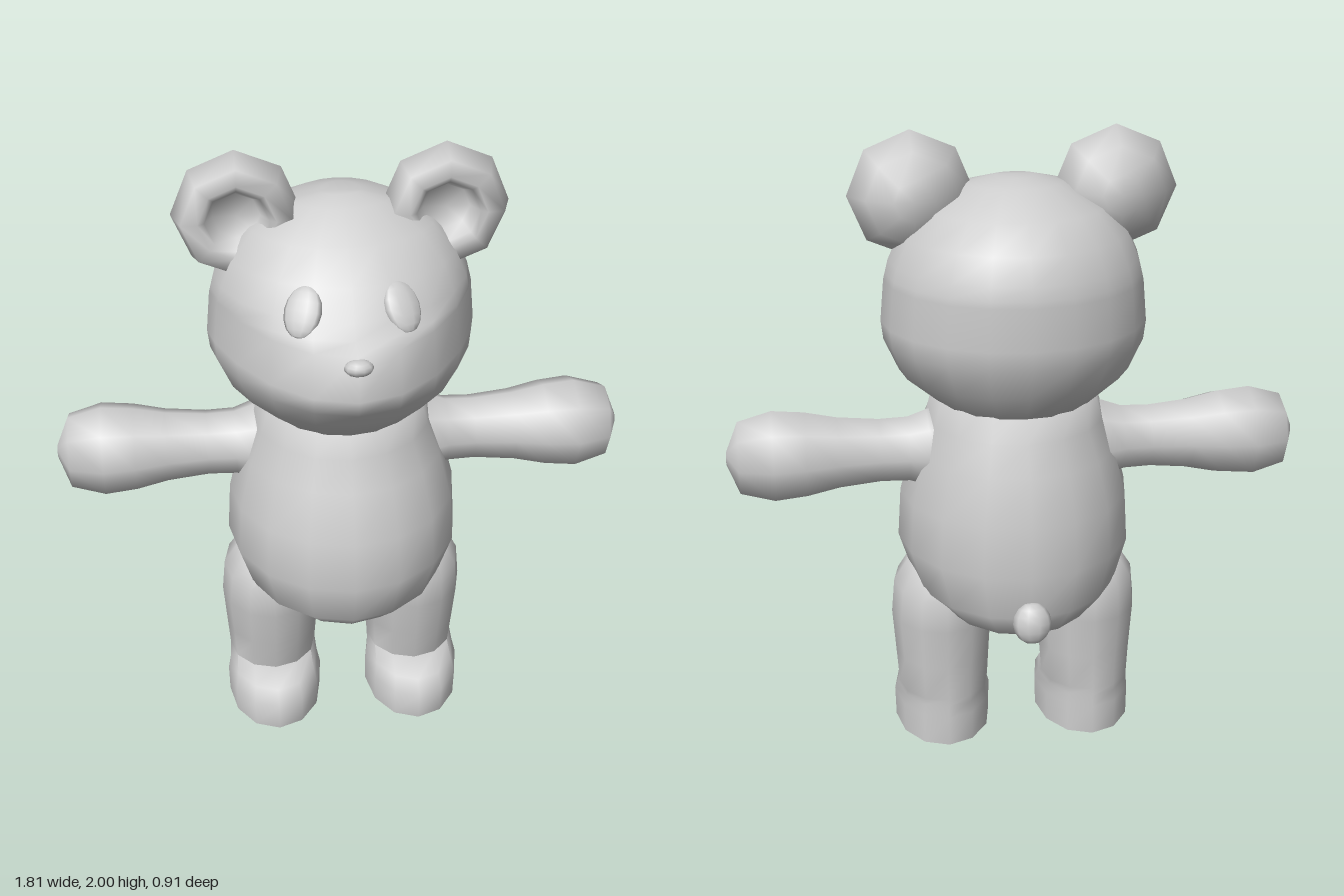
import * as THREE from 'three';
import { toCreasedNormals } from 'three/addons/utils/BufferGeometryUtils.js';

const material = new THREE.MeshStandardMaterial({ color: 0xcccccc });

// Closed skin over horizontal rings, each [y, halfWidth, zBack, zFront, frontPower].
// A frontPower above 1 narrows the front half of a ring into a muzzle.
function loft(rings, sides, mid) {
  const pos = [], index = [];
  for (const [y, rx, zb, zf, p = 1] of rings) {
    const c = mid ?? (zb + zf) / 2;
    for (let i = 0; i < sides; i++) {
      const a = (i / sides) * Math.PI * 2, k = Math.cos(a);
      const z = k > 0 ? c + (zf - c) * Math.pow(k, p) : c + (c - zb) * k;
      pos.push(rx * Math.sin(a), y, z);
    }
  }
  // centre points that close both ends
  const end = rings.length - 1, bottom = rings.length * sides;
  for (const [y, , zb, zf] of [rings[0], rings[end]]) pos.push(0, y, mid ?? (zb + zf) / 2);
  for (let i = 0; i < sides; i++) {
    const j = (i + 1) % sides;
    for (let r = 0; r < end; r++) {
      const a = r * sides, b = a + sides;
      index.push(a + i, a + j, b + j, a + i, b + j, b + i);
    }
    index.push(bottom, j, i, bottom + 1, end * sides + i, end * sides + j);
  }
  const geo = new THREE.BufferGeometry();
  geo.setAttribute('position', new THREE.Float32BufferAttribute(pos, 3));
  geo.setIndex(index);
  geo.computeVertexNormals();
  return geo;
}

// Round loft from [distance, radius] pairs
const roundLoft = (profile, sides) => loft(profile.map(([y, r]) => [y, r, -r, r]), sides);

function ellipsoid(rx, ry, rz) {
  return new THREE.SphereGeometry(1, 10, 8).scale(rx, ry, rz);
}

export function createModel() {
  const bear = new THREE.Group();
  bear.name = 'teddyBear';
  const add = (name, geo, x = 0, y = 0, z = 0) => {
    const mesh = new THREE.Mesh(geo, material);
    mesh.name = name;
    mesh.position.set(x, y, z);
    bear.add(mesh);
    return mesh;
  };

  // Pear-shaped body
  add('body', loft([
    [0.38, 0.05, -0.09, 0.05], [0.415, 0.15, -0.23, 0.17], [0.475, 0.25, -0.36, 0.28],
    [0.55, 0.33, -0.4, 0.355], [0.69, 0.375, -0.41, 0.385], [0.85, 0.365, -0.4, 0.365],
    [1.0, 0.325, -0.36, 0.305], [1.1, 0.285, -0.325, 0.26], [1.22, 0.25, -0.28, 0.22],
  ], 16));

  // Head with the muzzle drawn out of its front
  add('head', loft([
    [1.17, 0.25, -0.295, 0.23, 1.1], [1.26, 0.36, -0.365, 0.32, 1.25],
    [1.36, 0.405, -0.405, 0.425, 1.4], [1.42, 0.412, -0.412, 0.45, 1.5],
    [1.55, 0.4, -0.41, 0.42, 1.6], [1.57, 0.395, -0.408, 0.36, 1.2],
    [1.61, 0.385, -0.4, 0.325, 1.1], [1.69, 0.35, -0.37, 0.265],
    [1.77, 0.28, -0.3, 0.175], [1.84, 0.15, -0.17, 0.06], [1.86, 0.06, -0.1, 0],
  ], 20, -0.03));

  // Nose and tail
  add('nose', ellipsoid(0.043, 0.025, 0.03), 0, 1.522, 0.425);
  add('tail', ellipsoid(0.06, 0.066, 0.04), 0, 0.545, -0.413).rotation.x = 0.2;

  for (const s of [1, -1]) {
    const side = s > 0 ? 'left' : 'right';

    // Arm: slim at the shoulder, rounded paw at the end
    const arm = roundLoft([
      [0.2, 0.15], [0.28, 0.13], [0.34, 0.108], [0.43, 0.105], [0.56, 0.118],
      [0.66, 0.14], [0.76, 0.15], [0.865, 0.12], [0.905, 0.02],
    ], 8).rotateZ(-s * Math.PI / 2);
    add(side + 'Arm', arm, 0, 1.0, -0.05);

    // Leg: flat sole, foot stepping forward, thigh closing inside the body
    const leg = loft([
      [0, 0.158, -0.21, 0.235], [0.1, 0.16, -0.207, 0.24], [0.14, 0.15, -0.204, 0.2],
      [0.165, 0.147, -0.202, 0.11], [0.28, 0.155, -0.202, 0.13], [0.42, 0.165, -0.215, 0.155],
      [0.53, 0.155, -0.22, 0.165], [0.6, 0.11, -0.18, 0.13],
    ], 12);
    add(side + 'Leg', toCreasedNormals(leg, 1.1), s * 0.24);

    // Ear: rounded back, thick rim, recessed front
    const ear = roundLoft([
      [-0.15, 0.06], [-0.11, 0.14], [-0.03, 0.192], [0.055, 0.165],
      [0.058, 0.115], [0.045, 0.095], [0.0, 0.07],
    ], 8).rotateX(Math.PI / 2);
    add(side + 'Ear', ear, s * 0.31, 1.808, 0);

    // Eye: shallow oval lying on the face
    const eye = add(side + 'Eye', ellipsoid(0.057, 0.078, 0.022), s * 0.143, 1.628, 0.275);
    eye.rotation.set(-0.62, s * 0.42, 0, 'YXZ');
  }
  return bear;
}
